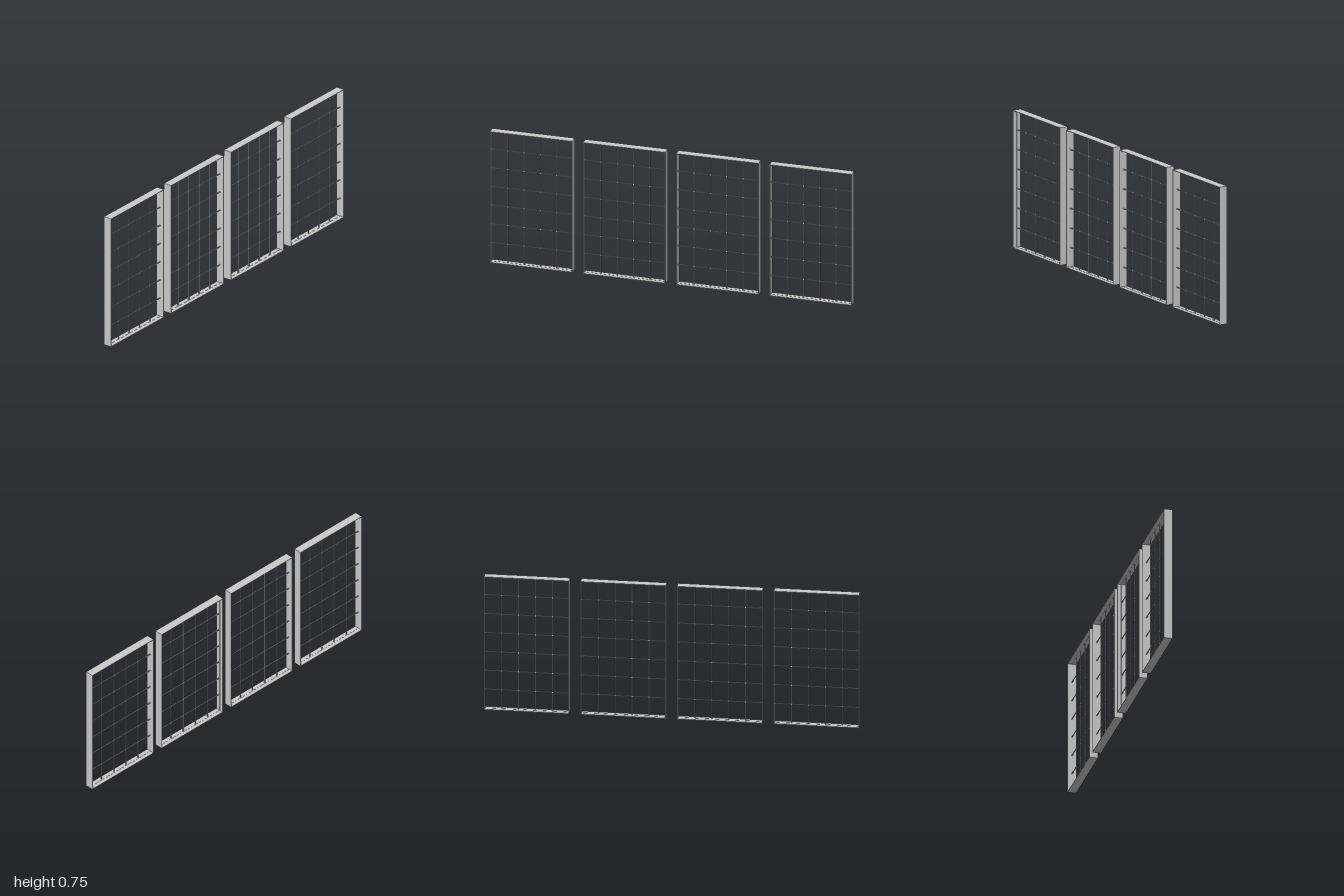
import * as THREE from 'three';

const H = 0.75, W = 0.455, GAP = 0.06, DEPTH = 0.047;
const SHEET = 0.003, BAR = 0.004;
const COLS = 5, ROWS = 7;

const material = new THREE.MeshStandardMaterial({ color: 0xcccccc, flatShading: true });

function addBox(parent, name, size, y, z) {
  const mesh = new THREE.Mesh(new THREE.BoxGeometry(...size), material);
  mesh.name = name;
  mesh.position.set(0, y, z);
  parent.add(mesh);
}

// One window panel: a thin deep frame with a grid of slender bars at mid depth
function makePanel() {
  const panel = new THREE.Group();
  panel.name = 'windowPanel';

  // Outer frame
  for (const s of [-1, 1]) {
    addBox(panel, 'frameSide', [DEPTH, H, SHEET], H / 2, s * (W - SHEET) / 2);
    addBox(panel, s < 0 ? 'frameBottom' : 'frameTop',
      [DEPTH, SHEET, W - 2 * SHEET], H / 2 + s * (H - SHEET) / 2, 0);
  }

  // Bars, including the rim bars lying against the frame
  const innerW = W - BAR, innerH = H - BAR;
  for (let i = 0; i <= COLS; i++) {
    addBox(panel, 'verticalBar', [BAR, innerH, BAR], H / 2, (i / COLS - 0.5) * innerW);
  }
  for (let j = 0; j <= ROWS; j++) {
    addBox(panel, 'horizontalBar', [BAR, BAR, innerW], BAR / 2 + (j / ROWS) * innerH, 0);
  }
  return panel;
}

export function createModel() {
  const model = new THREE.Group();
  model.name = 'windowRow';
  // Four panels in a row along z
  for (let i = 0; i < 4; i++) {
    const panel = makePanel();
    panel.position.z = (i - 1.5) * (W + GAP);
    model.add(panel);
  }
  return model;
}
